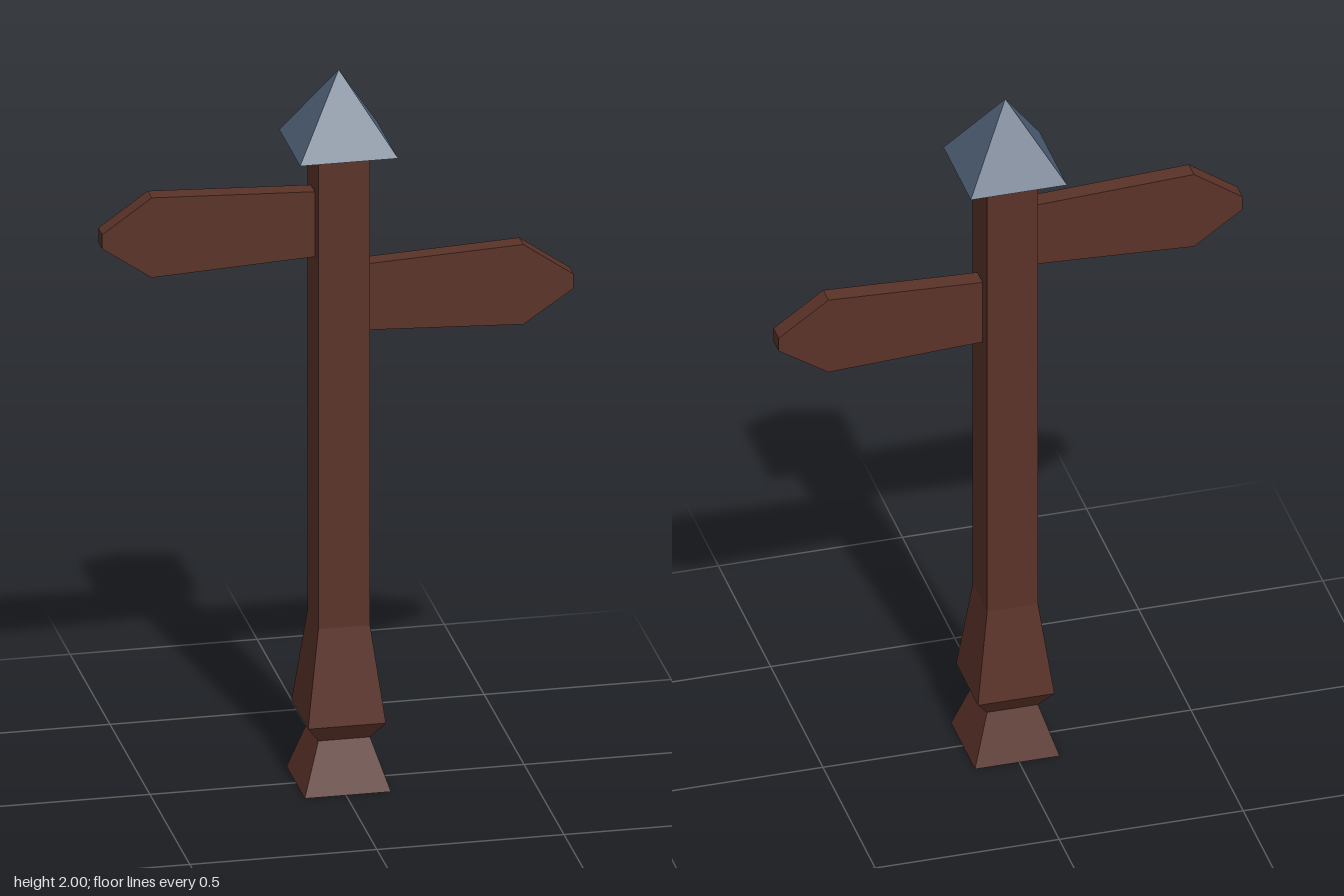
import * as THREE from 'three';

const wood = new THREE.MeshStandardMaterial({ color: 0x5a3228, flatShading: true });
wood.name = 'dark wood';
const slate = new THREE.MeshStandardMaterial({ color: 0x4f6178, flatShading: true });
slate.name = 'slate blue';

// Square solid swept from [half width, height] pairs, listed bottom to top
function squareTurned(name, profile, material) {
  const points = profile.map(([half, y]) => new THREE.Vector2(half * Math.SQRT2, y));
  const mesh = new THREE.Mesh(new THREE.LatheGeometry(points, 4, Math.PI / 4), material);
  mesh.name = name;
  mesh.position.set(0.005, 0, -0.002);
  return mesh;
}

// Flat arrow board cut from an outline
function signBoard(name, outline) {
  const depth = 0.05;
  const shape = new THREE.Shape(outline.map(([x, y]) => new THREE.Vector2(x, y)));
  const geometry = new THREE.ExtrudeGeometry(shape, { depth, bevelEnabled: false });
  geometry.translate(0, 0, -depth / 2 - 0.003);
  const mesh = new THREE.Mesh(geometry, wood);
  mesh.name = name;
  return mesh;
}

export function createModel() {
  const group = new THREE.Group();
  group.name = 'signpost';

  // Post with splayed foot, narrow waist and tapered collar
  group.add(squareTurned('post', [
    [0, 0], [0.115, 0], [0.069, 0.14], [0.104, 0.19], [0.069, 0.455], [0.069, 1.8], [0, 1.8],
  ], wood));

  // Pyramid cap
  group.add(squareTurned('cap', [[0, 1.79], [0.131, 1.79], [0, 2]], slate));

  // Arrow boards pointing to either side
  group.add(signBoard('leftSign', [
    [0.06, 1.27], [0.493, 1.25], [0.628, 1.34], [0.628, 1.38], [0.493, 1.475], [0.06, 1.455],
  ]));
  group.add(signBoard('rightSign', [
    [-0.05, 1.67], [-0.5, 1.69], [-0.632, 1.597], [-0.632, 1.557], [-0.5, 1.465], [-0.05, 1.488],
  ]));

  return group;
}
